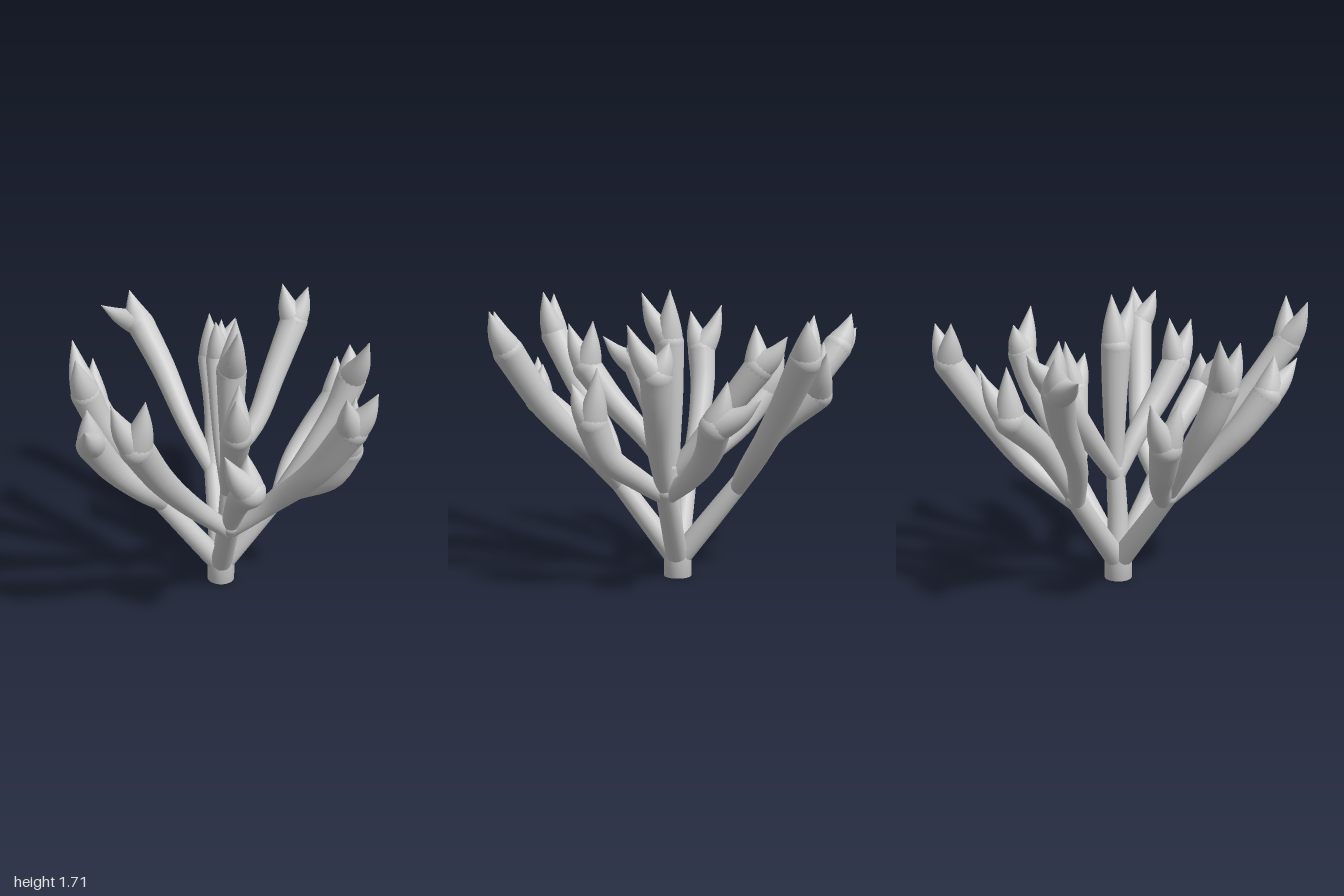
import * as THREE from 'three';
import { mergeVertices } from 'three/addons/utils/BufferGeometryUtils.js';

const material = new THREE.MeshStandardMaterial({ color: 0xcccccc });
const openMaterial = new THREE.MeshStandardMaterial({ color: 0xcccccc, side: THREE.DoubleSide });
const vec = (p) => new THREE.Vector3(...p);

// Round branch along a smooth path; radiusAt(t) sets its thickness from start to end
function taperedTube(points, radiusAt, segments = 14, sides = 16) {
  const curve = new THREE.CatmullRomCurve3(points);
  const geometry = new THREE.TubeGeometry(curve, segments, 1, sides);
  const position = geometry.attributes.position;
  const v = new THREE.Vector3();
  for (let i = 0; i < position.count; i++) {
    const t = Math.floor(i / (sides + 1)) / segments;
    const centre = curve.getPointAt(t);
    v.fromBufferAttribute(position, i).sub(centre).multiplyScalar(radiusAt(t)).add(centre);
    position.setXYZ(i, v.x, v.y, v.z);
  }
  geometry.deleteAttribute('uv');
  geometry.deleteAttribute('normal');
  const merged = mergeVertices(geometry);
  merged.computeVertexNormals();
  return merged;
}

function addMesh(group, name, geometry, mat = material) {
  const mesh = new THREE.Mesh(geometry, mat);
  mesh.name = name;
  group.add(mesh);
  return mesh;
}

// Limb from the foot up to a rounded joint where arms fork
function addLimb(group, name, path) {
  const points = path.map(vec);
  addMesh(group, name, taperedTube(points, (t) => 0.067 - 0.011 * t));
  addMesh(group, 'limbJoint', new THREE.SphereGeometry(0.056, 16, 12)).position.copy(points[2]);
}

// Arm that thickens towards a rounded end carrying pointed tips
function addArm(group, name, path, tips) {
  const startRadius = 0.047, endRadius = 0.088;
  const arm = new THREE.Group();
  arm.name = name;
  const points = path.map(vec);
  const end = points[points.length - 1];
  addMesh(arm, 'armStem', taperedTube(points, (t) => startRadius + (endRadius - startRadius) * t ** 0.9));
  addMesh(arm, 'armEnd', new THREE.SphereGeometry(endRadius, 20, 14)).position.copy(end);
  for (const tip of tips) {
    const to = vec(tip);
    // The spike leaves the end slightly off centre, on the side of its tip
    const from = end.clone().lerp(to, 0.06);
    const middle = from.clone().lerp(to, 0.4);
    middle.x += (to.x - end.x) * 0.12;
    middle.z += (to.z - end.z) * 0.12;
    const radius = (t) => Math.max(0.002, endRadius * 0.93 * (1 - t ** 1.4));
    addMesh(arm, 'spike', taperedTube([from, middle, to], radius, 10));
  }
  group.add(arm);
}

export function createModel() {
  const coral = new THREE.Group();
  coral.name = 'coral';

  // Foot with a small hollow underneath
  const footProfile = [[0.03, 0.06], [0.045, 0], [0.083, 0], [0.083, 0.15]].map((p) => new THREE.Vector2(...p));
  const foot = new THREE.LatheGeometry(footProfile, 24);
  addMesh(coral, 'foot', foot, openMaterial);

  // Four main limbs leaning outwards
  for (const [x, z] of [[1, 0], [-1, 0], [0, 1], [0, -1]]) {
    addLimb(coral, 'mainLimb', [[0, 0.1, 0], [x * 0.18, 0.33, z * 0.18], [x * 0.38, 0.59, z * 0.38]]);
  }

  // Upright trunk and the three arms that leave it
  addLimb(coral, 'trunk', [[0, 0.08, 0], [0.03, 0.36, 0.03], [0.05, 0.66, 0.03]]);
  addArm(coral, 'trunkTopArm', [[0.05, 0.63, 0.03], [0.055, 0.85, 0.03], [0.055, 1.1, 0.03], [0.055, 1.4, 0.04]],
    [[0.08, 1.71, 0.03], [0.065, 1.69, 0.2]]);
  addArm(coral, 'trunkFrontArm', [[0.04, 0.62, 0.03], [0.03, 0.83, 0.18], [0.02, 1.05, 0.39], [0.01, 1.24, 0.54]],
    [[0.03, 1.52, 0.5], [-0.01, 1.5, 0.66]]);
  addArm(coral, 'trunkBackArm', [[0.04, 0.64, 0.01], [0.04, 0.86, -0.17], [0.05, 1.08, -0.34], [0.06, 1.26, -0.48]],
    [[0.03, 1.51, -0.46], [0.09, 1.45, -0.65]]);

  // Arms continuing each main limb
  addArm(coral, 'leftArm', [[0.36, 0.57, 0], [0.54, 0.84, 0], [0.7, 1.1, -0.02], [0.77, 1.28, -0.03]],
    [[0.83, 1.56, 0.11], [0.77, 1.47, -0.1]]);
  addArm(coral, 'rightArm', [[-0.36, 0.57, 0], [-0.54, 0.84, -0.03], [-0.7, 1.1, -0.03], [-0.77, 1.28, -0.01]],
    [[-0.83, 1.57, -0.13], [-0.82, 1.53, 0.07]]);
  addArm(coral, 'frontArm', [[0, 0.57, 0.36], [0.01, 0.71, 0.46], [0.02, 0.87, 0.6], [0.04, 1.05, 0.83]],
    [[-0.1, 1.29, 0.88], [0.03, 1.26, 0.81]]);
  addArm(coral, 'backArm', [[0, 0.57, -0.36], [0.02, 0.74, -0.46], [0.04, 0.91, -0.58], [0.05, 1.12, -0.82]],
    [[0.21, 1.37, -0.88], [0.04, 1.42, -0.85]]);

  // Forks of the left and right limbs
  addArm(coral, 'leftFrontFork', [[0.35, 0.55, 0], [0.46, 0.67, 0.14], [0.61, 0.82, 0.28], [0.68, 1.01, 0.34]],
    [[0.72, 1.32, 0.3], [0.69, 1.23, 0.45]]);
  addArm(coral, 'leftBackFork', [[0.35, 0.55, 0], [0.46, 0.7, -0.17], [0.6, 0.85, -0.28], [0.75, 1.02, -0.34]],
    [[0.77, 1.27, -0.41], [0.8, 1.18, -0.59]]);
  addArm(coral, 'rightFrontFork', [[-0.35, 0.55, 0], [-0.48, 0.74, 0.18], [-0.65, 0.96, 0.3], [-0.76, 1.17, 0.41]],
    [[-0.8, 1.36, 0.65], [-0.78, 1.4, 0.45]]);
  addArm(coral, 'rightBackFork', [[-0.35, 0.55, 0], [-0.46, 0.7, -0.16], [-0.59, 0.84, -0.3], [-0.71, 1.02, -0.42]],
    [[-0.71, 1.28, -0.55], [-0.78, 1.27, -0.4]]);

  // Tall forks of the front and back limbs
  addArm(coral, 'frontLeftFork', [[0.01, 0.55, 0.36], [0.22, 0.76, 0.46], [0.42, 1.06, 0.68], [0.57, 1.38, 0.84]],
    [[0.68, 1.61, 0.91], [0.51, 1.6, 0.94]]);
  addArm(coral, 'frontRightFork', [[-0.01, 0.55, 0.36], [-0.22, 0.78, 0.48], [-0.42, 1.1, 0.72], [-0.55, 1.38, 0.9]],
    [[-0.67, 1.64, 0.94], [-0.5, 1.66, 0.96]]);
  addArm(coral, 'backLeftFork', [[0.01, 0.55, -0.36], [0.27, 0.78, -0.5], [0.43, 1.08, -0.66], [0.57, 1.36, -0.79]],
    [[0.5, 1.6, -0.83], [0.66, 1.58, -0.81]]);
  addArm(coral, 'backRightFork', [[0, 0.55, -0.36], [-0.14, 0.82, -0.5], [-0.27, 1.12, -0.74], [-0.39, 1.35, -0.9]],
    [[-0.63, 1.45, -1], [-0.45, 1.55, -0.98]]);

  return coral;
}
